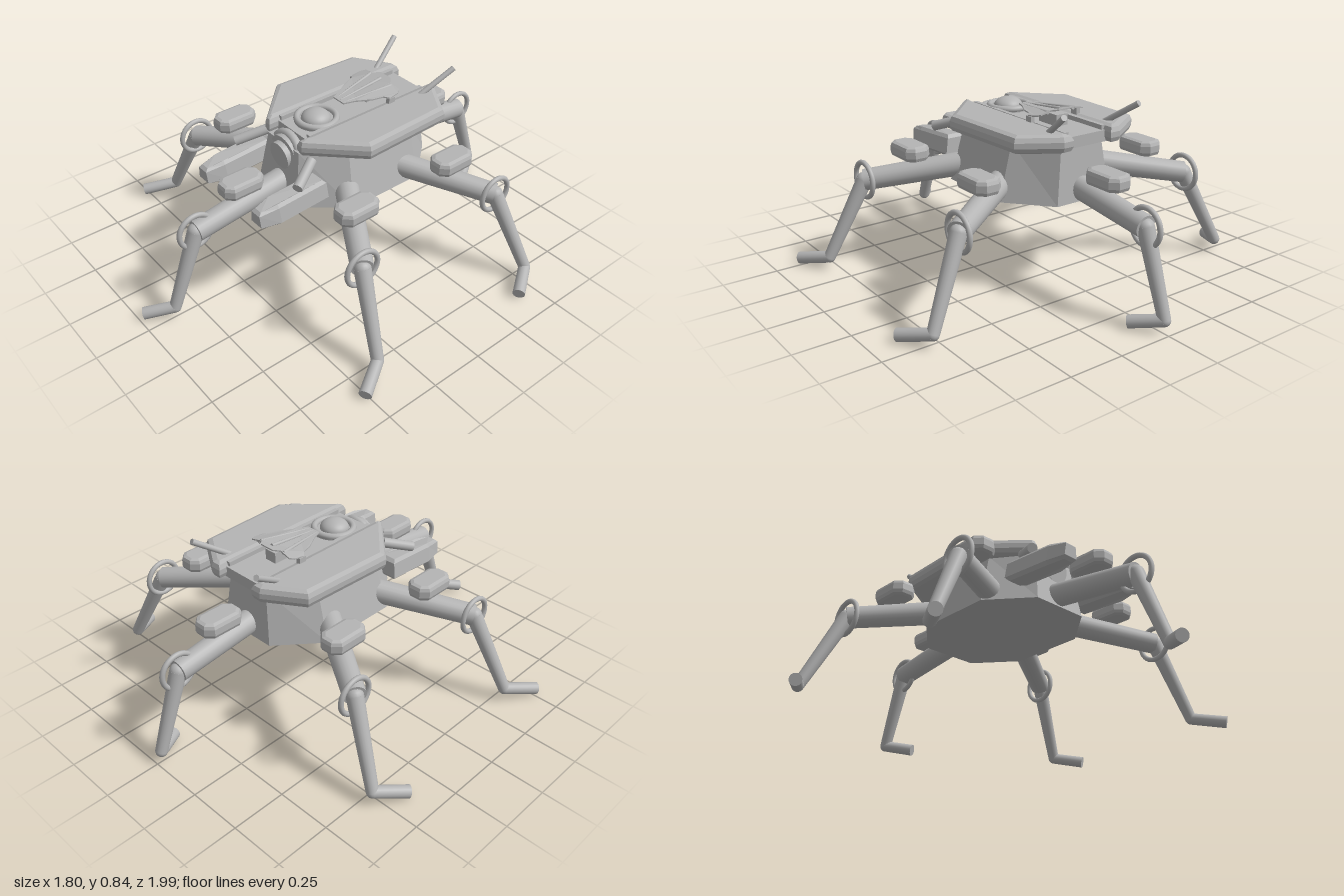
import * as THREE from 'three';

export function createModel() {
  const model = new THREE.Group();
  const grey = new THREE.MeshStandardMaterial({ color: 0xb4b4b4 });
  grey.name = 'plain grey';
  grey.side = THREE.DoubleSide;

  const V = (x, y, z) => new THREE.Vector3(x, y, z);
  const add = (name, geo, parent = model) => {
    const m = new THREE.Mesh(geo, grey);
    m.name = name;
    parent.add(m);
    return m;
  };

  // Straight rod between two points, radius r0 at a and r1 at b
  function rod(name, a, b, r0, r1 = r0, parent = model) {
    const m = add(name, new THREE.CylinderGeometry(r1, r0, a.distanceTo(b), 20), parent);
    m.position.copy(a).add(b).multiplyScalar(0.5);
    m.quaternion.setFromUnitVectors(V(0, 1, 0), b.clone().sub(a).normalize());
    return m;
  }

  // Plan outline [x, z] raised from y0 to y1 with chamfered edges
  function slab(pts, y0, y1, bevel, segments = 2) {
    const shape = new THREE.Shape(pts.map(([x, z]) => new THREE.Vector2(x, -z)));
    const geo = new THREE.ExtrudeGeometry(shape, {
      depth: y1 - y0 - 2 * bevel, bevelEnabled: bevel > 0,
      bevelSize: bevel, bevelThickness: bevel, bevelOffset: -bevel, bevelSegments: segments,
    });
    return geo.rotateX(-Math.PI / 2).translate(0, y0 + bevel, 0);
  }

  const chamferedBox = (w, d, c) => [
    [-w, -d + c], [-w + c, -d], [w - c, -d], [w, -d + c],
    [w, d - c], [w - c, d], [-w + c, d], [-w, d - c]];

  // Hull: eight-sided tub that narrows upwards
  const hull = slab([
    [0.14, 0.29], [0.3, 0.1], [0.3, -0.28], [0.14, -0.47],
    [-0.14, -0.47], [-0.3, -0.28], [-0.3, 0.1], [-0.14, 0.29]], 0.42, 0.67, 0);
  const hp = hull.attributes.position;
  for (let i = 0; i < hp.count; i++) {
    if (hp.getY(i) > 0.5) {
      hp.setX(i, hp.getX(i) * 0.78);
      hp.setZ(i, -0.1 + (hp.getZ(i) + 0.09) * 0.92);
    }
  }
  hull.computeVertexNormals();
  add('hull', hull);
  add('centreDeck', new THREE.BoxGeometry(0.24, 0.05, 0.68).translate(0, 0.69, -0.14));

  for (const s of [-1, 1]) {
    // Armour plate on each side of the back
    add('shellPlate', slab([
      [0.1 * s, -0.52], [0.15 * s, -0.52], [0.32 * s, -0.41],
      [0.337 * s, 0.04], [0.13 * s, 0.25], [0.1 * s, 0.25]], 0.66, 0.74, 0.028));
    add('deckRail', new THREE.BoxGeometry(0.02, 0.04, 0.66).translate(0.1 * s, 0.715, -0.14));
    rod('antenna', V(0.15 * s, 0.725, -0.41), V(0.2 * s, 0.835, -0.575), 0.013);

    // Tapered front pod with a short barrel above it
    const gun = new THREE.Group();
    gun.name = 'frontPod';
    const body = slab([
      [-0.056, -0.17], [0.056, -0.17], [0.056, 0.08],
      [0.036, 0.17], [-0.036, 0.17], [-0.056, 0.08]], -0.05, 0.05, 0.015, 1);
    const bp = body.attributes.position;
    for (let i = 0; i < bp.count; i++) {
      if (bp.getY(i) > 0) bp.setX(i, bp.getX(i) * 0.8);
      if (bp.getZ(i) > 0.1) bp.setY(i, bp.getY(i) * 0.8);
    }
    body.computeVertexNormals();
    add('podBody', body, gun);
    gun.position.set(0.2 * s, 0.53, 0.375);
    gun.rotation.x = 0.06;
    model.add(gun);
    rod('shortBarrel', V(0.16 * s, 0.65, 0.22), V(0.23 * s, 0.603, 0.35), 0.023);
    add('fanTab', new THREE.BoxGeometry(0.02, 0.03, 0.035).translate(0.125 * s, 0.75, -0.26));
  }

  // Round front eye in its collar
  const collar = add('eyeCollar', new THREE.TorusGeometry(0.088, 0.02, 12, 40));
  collar.position.set(0, 0.615, 0.235);
  collar.rotation.x = -0.2;
  rod('eyeHousing', V(0, 0.63, 0.1), V(0, 0.615, 0.25), 0.088);
  rod('eyeLens', V(0, 0.63, 0.1), V(0, 0.612, 0.275), 0.064);

  // Top dome and ring
  add('domeBase', new THREE.CylinderGeometry(0.1, 0.1, 0.05, 36).translate(0, 0.7, 0.065));
  add('domeRing', new THREE.TorusGeometry(0.088, 0.015, 10, 40).rotateX(Math.PI / 2).translate(0, 0.728, 0.065));
  add('dome', new THREE.SphereGeometry(0.066, 28, 12, 0, Math.PI * 2, 0, Math.PI / 2)
    .scale(1, 0.65, 1).translate(0, 0.725, 0.07));

  // Thin fan of overlapping blades, arched across and rising to the back
  const half = [[0.035, -0.06], [0.055, -0.11], [0.095, -0.18], [0.11, -0.23], [0.132, -0.25],
    [0.128, -0.3], [0.115, -0.32], [0.06, -0.315], [0.035, -0.34]];
  const outline = [...half, ...half.map(([x, z]) => [-x, z]).reverse()];
  const fan = slab(outline, 0, 0.006, 0);
  const fp = fan.attributes.position;
  for (let i = 0; i < fp.count; i++) {
    const x = fp.getX(i), z = fp.getZ(i);
    fp.setY(i, fp.getY(i) + 0.762 + (-z - 0.06) * 0.1 - x * x * 1.1);
  }
  fan.computeVertexNormals();
  add('fan', fan);
  for (const x of [-0.07, 0, 0.07]) {
    rod('fanRib', V(x * 0.35, 0.764, -0.07), V(x, 0.787 - x * x * 1.1, -0.31), 0.004, 0.009);
  }
  add('fanMount', new THREE.BoxGeometry(0.06, 0.06, 0.12).translate(0, 0.735, -0.26));

  // Legs: knee, ankle and toe as [x, z], and the pod position
  function leg(name, knee, ankle, toe, pod) {
    const g = new THREE.Group();
    g.name = name;
    const k = V(knee[0], 0.42, knee[1]);
    const inner = V(0, 0, -0.06).lerp(V(knee[0], 0, knee[1]), 0.28).setY(0.5);
    const a = V(ankle[0], 0.065, ankle[1]);
    rod('thigh', inner, k, 0.056, 0.049, g);
    rod('shin', k, a, 0.037, 0.027, g);
    rod('foot', a, V(toe[0], 0.034, toe[1]), 0.027, 0.028, g);
    add('ankleJoint', new THREE.SphereGeometry(0.027, 14, 10), g).position.copy(a);
    add('kneeJoint', new THREE.SphereGeometry(0.037, 14, 10), g).position.copy(k);
    const ring = add('kneeRing', new THREE.TorusGeometry(0.08, 0.012, 10, 36).rotateY(Math.PI / 2), g);
    ring.position.copy(k);
    add('legPod', slab(chamferedBox(0.06, 0.1, 0.032), 0.522, 0.592, 0.02), g)
      .position.set(pod[0], 0, pod[1]);
    model.add(g);
  }
  leg('frontLeg', [0, 0.72], [0, 0.86], [-0.08, 0.975], [0, 0.48]);
  leg('backLeg', [0, -0.845], [0, -0.972], [0.08, -0.85], [0, -0.62]);
  for (const s of [-1, 1]) {
    leg('frontSideLeg', [0.62 * s, 0.325], [0.79 * s, 0.38], [0.875 * s, 0.52], [0.445 * s, 0.21]);
    leg('backSideLeg', [0.62 * s, -0.455], [0.79 * s, -0.525], [0.875 * s, -0.395], [0.445 * s, -0.34]);
  }
  return model;
}
